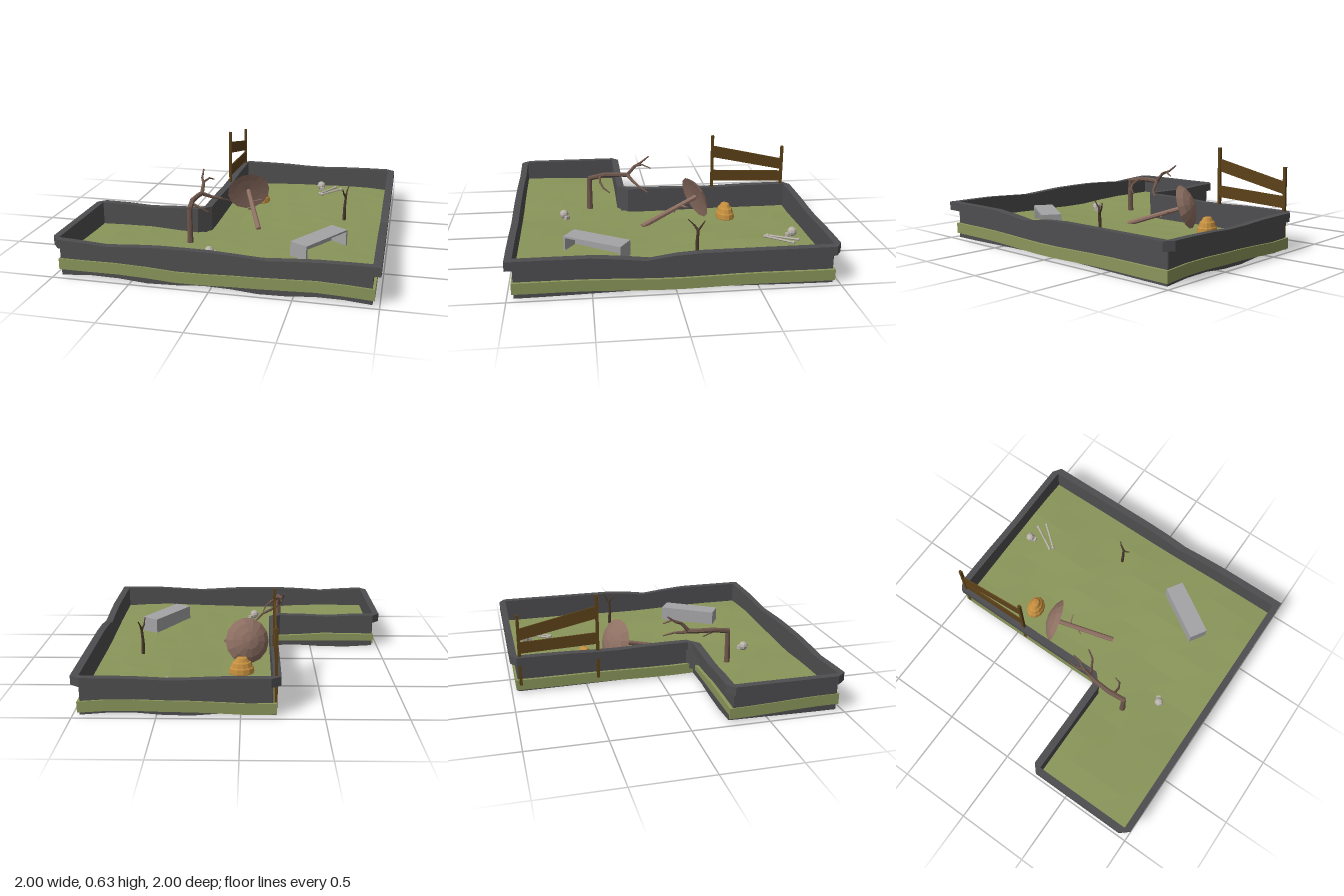
import * as THREE from 'three';

const mat = (color) => new THREE.MeshStandardMaterial({ color, flatShading: true, side: THREE.DoubleSide });
const GRASS = mat(0x8a955a), STONE = mat(0x4e4e50), WOOD = mat(0x5c4118), BARK = mat(0x6e574c);
const CAP = mat(0x8f7063), STRAW = mat(0xc58f3f), BONE = mat(0xb9b3aa), SLAB = mat(0xa4a4a6), TWIG = mat(0x4b3a2e);
const V = (p) => new THREE.Vector3(...p);

function mesh(parent, name, geometry, material, pos = [0, 0, 0]) {
  const m = new THREE.Mesh(geometry, material);
  m.name = name;
  m.position.set(...pos);
  parent.add(m);
  return m;
}

// Flat-shaded geometry from a list of quads, each four [x, y, z] corners
function quadGeometry(quads) {
  const pos = [];
  for (const [a, b, c, d] of quads) pos.push(...a, ...b, ...c, ...a, ...c, ...d);
  const g = new THREE.BufferGeometry();
  g.setAttribute('position', new THREE.Float32BufferAttribute(pos, 3));
  g.computeVertexNormals();
  return g;
}

// Ground heights
const ground = (x, z) =>
  0.096 + 0.01 * Math.cos(4.65 * (x - 0.6)) + 0.007 * z - 0.006 * Math.cos(3.5 * z) + 0.003 * Math.sin(11 * x + 7 * z);
const underside = (x, z) => 0.011 - 0.011 * Math.cos(9 * x) * Math.cos(3 * z);

const steps = (a, b, n) => Array.from({ length: n }, (_, i) => a + ((b - a) * i) / n);

// L-shaped slab between two height functions
function slabGeometry(top, bottom, scale) {
  const xs = [...steps(-0.965, -0.215, 4), ...steps(-0.215, 0.97, 7), 0.97];
  const zs = [...steps(-0.97, 0.25, 8), ...steps(0.25, 0.97, 5), 0.97];
  const inside = (i, j) => i >= 0 && j >= 0 && i < xs.length - 1 && j < zs.length - 1 && (i >= 4 || j >= 8);
  const quads = [];
  for (let i = 0; i < xs.length - 1; i++) {
    for (let j = 0; j < zs.length - 1; j++) {
      if (!inside(i, j)) continue;
      const corner = [[i, j], [i, j + 1], [i + 1, j + 1], [i + 1, j]].map(([a, b]) => [xs[a] * scale, zs[b] * scale]);
      const t = corner.map(([x, z]) => [x, top(x, z), z]);
      const u = corner.map(([x, z]) => [x, bottom(x, z), z]);
      quads.push(t, [...u].reverse());
      [[-1, 0], [0, 1], [1, 0], [0, -1]].forEach(([di, dj], k) => {
        const n = (k + 1) % 4;
        if (!inside(i + di, j + dj)) quads.push([u[k], u[n], t[n], t[k]]);
      });
    }
  }
  return quadGeometry(quads);
}

// Uneven top edge of the wall
const dip = (t, centre, width, depth) => depth * Math.exp(-(((t - centre) / width) ** 2));
function rimTop(x, z) {
  if (z > 0.9) return 0.255 - dip(x, -0.63, 0.18, 0.02) - dip(x, 0.35, 0.2, 0.02);
  if (x > 0.9) return 0.255 - dip(z, 0.2, 0.16, 0.033);
  if (z < -0.9) return 0.255 - dip(x, 0.4, 0.2, 0.012);
  return 0.255 - dip(x, -0.6, 0.15, 0.012) - dip(z, -0.35, 0.2, 0.01);
}

// Wall: thin lower face with an overhanging, chamfered coping
function wallGeometry() {
  const corners = [ // outer x, z, inner x, z
    [-0.18, -1, -0.19, -0.955], [0.94, -1, 0.95, -0.955], [1, -0.96, 0.95, -0.955], [1, 1, 0.95, 0.955],
    [-0.95, 1, -0.955, 0.955], [-1, 0.94, -0.955, 0.955], [-1, 0.27, -0.955, 0.275], [-0.95, 0.225, -0.955, 0.275],
    [-0.27, 0.225, -0.27, 0.275], [-0.24, 0.2, -0.19, 0.2], [-0.24, -0.96, -0.19, -0.955],
  ];
  const path = [];
  corners.forEach((a, i) => {
    const b = corners[(i + 1) % corners.length];
    const n = Math.max(1, Math.round(Math.hypot(b[0] - a[0], b[1] - a[1]) / 0.16));
    for (let k = 0; k < n; k++) path.push(a.map((v, c) => v + ((b[c] - v) * k) / n));
  });
  const rings = path.map(([ox, oz, ix, iz]) => {
    const h = rimTop(ox, oz), at = (t, y) => [ix + (ox - ix) * t, y, iz + (oz - iz) * t];
    return [at(0, 0.05), at(0, h), at(1, h), at(1, 0.198), at(0.08, 0.198), at(0.08, 0.05)];
  });
  const quads = [];
  rings.forEach((r, i) => {
    const s = rings[(i + 1) % rings.length];
    for (let k = 0; k < r.length; k++) {
      const n = (k + 1) % r.length;
      quads.push([r[k], r[n], s[n], s[k]]);
    }
  });
  return quadGeometry(quads);
}

// Tapered, jointed branch through a few points
function branch(parent, name, points, r0, r1, material, sides = 6) {
  const g = new THREE.Group();
  g.name = name;
  const n = points.length - 1;
  for (let i = 0; i < n; i++) {
    const a = V(points[i]), b = V(points[i + 1]), dir = b.clone().sub(a);
    const ra = r0 + ((r1 - r0) * i) / n, rb = r0 + ((r1 - r0) * (i + 1)) / n;
    const m = mesh(g, name + 'Part', new THREE.CylinderGeometry(rb, ra, dir.length() * 1.04, sides), material);
    m.position.copy(a).add(b).multiplyScalar(0.5);
    m.quaternion.setFromUnitVectors(new THREE.Vector3(0, 1, 0), dir.normalize());
  }
  parent.add(g);
}

function skull(parent, x, z, angle) {
  const g = new THREE.Group();
  g.name = 'skull';
  mesh(g, 'cranium', new THREE.SphereGeometry(0.032, 8, 6), BONE, [0, 0.03, 0]);
  mesh(g, 'jaw', new THREE.BoxGeometry(0.03, 0.025, 0.03), BONE, [0, 0.012, 0.03]);
  g.position.set(x, ground(x, z), z);
  g.rotation.y = angle;
  parent.add(g);
}

export function createModel() {
  const model = new THREE.Group();
  model.name = 'walledYard';

  mesh(model, 'grass', slabGeometry(ground, (x, z) => ground(x, z) - 0.07, 1), GRASS);
  mesh(model, 'base', slabGeometry(() => 0.05, underside, 0.988), STONE);
  mesh(model, 'wall', wallGeometry(), STONE);

  // Broken fence on the side wall
  const fence = new THREE.Group();
  fence.name = 'fence';
  for (const [z, top] of [[-0.42, 0.635], [-0.938, 0.54]])
    mesh(fence, 'fencePost', new THREE.BoxGeometry(0.018, top - 0.05, 0.02), WOOD, [-0.21, (top + 0.05) / 2, z]);
  for (const [y0, y1, y2, y3] of [[0.475, 0.56, 0.445, 0.365], [0.295, 0.375, 0.352, 0.275]]) {
    const board = new THREE.Shape([[0.42, y0], [0.42, y1], [0.938, y2], [0.938, y3]].map((p) => new THREE.Vector2(...p)));
    const m = mesh(fence, 'fenceBoard', new THREE.ExtrudeGeometry(board, { depth: 0.01, bevelEnabled: false }), WOOD, [-0.205, 0, 0]);
    m.rotation.y = Math.PI / 2;
    m.position.x = -0.215;
  }
  model.add(fence);

  // Toppled round cap with a long stalk
  const capCentre = [-0.035, 0.23, -0.265], stalkEnd = [0.12, 0.09, 0.12];
  const profile = [[0, 0.065], [0.06, 0.055], [0.115, 0.032], [0.155, 0], [0.1, 0.006], [0, 0.012]];
  const cap = mesh(model, 'roundCap', new THREE.LatheGeometry(profile.map((p) => new THREE.Vector2(...p)), 14), CAP, capCentre);
  cap.quaternion.setFromUnitVectors(new THREE.Vector3(0, 1, 0), V(capCentre).sub(V(stalkEnd)).normalize());
  branch(model, 'stalk', [capCentre, stalkEnd], 0.016, 0.018, CAP, 8);
  branch(model, 'stalkTwig', [[0.015, 0.19, -0.165], [0.045, 0.19, -0.185], [0.08, 0.2, -0.195]], 0.007, 0.004, CAP, 5);
  branch(model, 'stalkTwig', [[0.045, 0.155, -0.11], [0.015, 0.155, -0.1], [0, 0.16, -0.075]], 0.007, 0.004, CAP, 5);

  // Tiered straw mound
  const tiers = [[0, 0.125], [0.035, 0.118], [0.05, 0.095], [0.062, 0.088], [0.072, 0.06], [0.08, 0.052], [0.084, 0.02], [0.076, 0]];
  const mound = mesh(model, 'strawMound', new THREE.LatheGeometry(tiers.map((p) => new THREE.Vector2(...p)), 12), STRAW, [0, 0.07, -0.48]);
  mound.scale.z = 0.76;
  mound.rotation.y = 0.2;

  // Bent dead tree
  branch(model, 'treeTrunk', [[-0.265, 0.07, 0.475], [-0.265, 0.12, 0.477], [-0.265, 0.325, 0.475]], 0.024, 0.017, BARK, 8);
  branch(model, 'treeBough', [[-0.265, 0.325, 0.48], [-0.28, 0.345, 0.36], [-0.272, 0.345, 0.25], [-0.26, 0.345, 0.19]], 0.018, 0.016, BARK, 7);
  branch(model, 'upperBranch', [[-0.26, 0.345, 0.2], [-0.262, 0.405, 0.145], [-0.285, 0.425, 0.1], [-0.29, 0.47, 0.04]], 0.014, 0.005, BARK);
  branch(model, 'upperTwig', [[-0.265, 0.41, 0.14], [-0.235, 0.425, 0.09], [-0.22, 0.4, 0.03]], 0.008, 0.004, BARK);
  branch(model, 'lowerBranch', [[-0.26, 0.345, 0.2], [-0.2, 0.315, 0.165], [-0.14, 0.295, 0.13], [-0.09, 0.26, 0.065]], 0.014, 0.005, BARK);
  branch(model, 'sideBranch', [[-0.275, 0.34, 0.4], [-0.21, 0.31, 0.4], [-0.17, 0.28, 0.38], [-0.15, 0.25, 0.335]], 0.01, 0.004, BARK);

  // Small bare sapling
  branch(model, 'sapling', [[0.685, 0.08, -0.17], [0.683, 0.18, -0.165], [0.69, 0.275, -0.17]], 0.013, 0.009, TWIG);
  branch(model, 'saplingTwig', [[0.69, 0.27, -0.17], [0.675, 0.3, -0.15], [0.672, 0.34, -0.11]], 0.009, 0.003, TWIG);
  branch(model, 'saplingTwig', [[0.69, 0.27, -0.17], [0.695, 0.31, -0.195], [0.705, 0.34, -0.21]], 0.008, 0.003, TWIG);

  // Stone box open along one long side
  const box = new THREE.Group();
  box.name = 'stoneBox';
  const L = 0.41, H = 0.125, D = 0.13, T = 0.012;
  for (const s of [-1, 1]) {
    mesh(box, 'boxPanel', new THREE.BoxGeometry(L, T, D), SLAB, [0, (s * (H - T)) / 2, 0]);
    mesh(box, 'boxEnd', new THREE.BoxGeometry(T, H - 2 * T, D), SLAB, [(s * (L - T)) / 2, 0, 0]);
  }
  mesh(box, 'boxBack', new THREE.BoxGeometry(L - 2 * T, H - 2 * T, T), SLAB, [0, 0, -(D - T) / 2]);
  box.position.set(0.585, 0.145, 0.458);
  box.rotation.y = Math.atan2(0.35, 0.22);
  model.add(box);

  // Scattered bones
  skull(model, 0.435, -0.85, 0.3);
  skull(model, -0.085, 0.665, 2.2);
  for (const [a, b] of [[[0.445, -0.68], [0.545, -0.86]], [[0.465, -0.66], [0.595, -0.815]]]) {
    const ends = [a, b].map(([x, z]) => [x, ground(x, z) + 0.012, z]);
    branch(model, 'bone', ends, 0.007, 0.007, BONE);
    for (const p of ends) mesh(model, 'boneKnob', new THREE.SphereGeometry(0.012, 6, 5), BONE, p);
  }
  return model;
}
